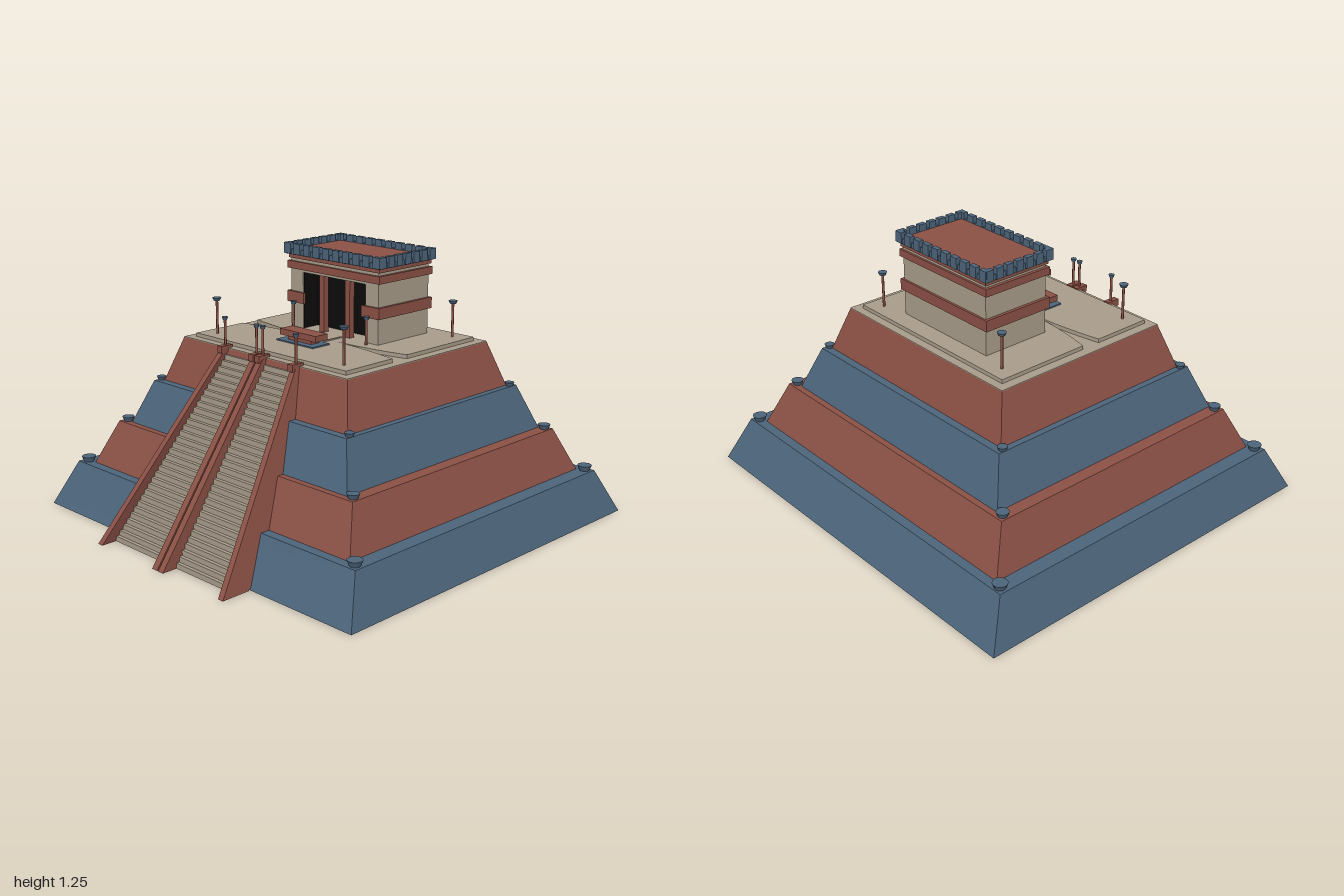
import * as THREE from 'three';

const mat = (name, color, side = THREE.FrontSide) => {
  const m = new THREE.MeshStandardMaterial({ color, side });
  m.name = name;
  return m;
};

export function createModel() {
  const root = new THREE.Group();
  root.name = 'steppedPyramid';
  const blue = mat('slateBlue', 0x4c647a, THREE.DoubleSide);
  const red = mat('brickRed', 0x8a5045, THREE.DoubleSide);
  const tan = mat('sandStone', 0xa89c8a);
  const dark = mat('doorShadow', 0x0c0c0c);

  const add = (name, geo, material, parent = root) => {
    const m = new THREE.Mesh(geo, material);
    m.name = name;
    parent.add(m);
    return m;
  };
  // Box given by its limits on each axis
  const box = (name, material, x0, x1, y0, y1, z0, z1, parent) => {
    const m = add(name, new THREE.BoxGeometry(x1 - x0, y1 - y0, z1 - z0), material, parent);
    m.position.set((x0 + x1) / 2, (y0 + y1) / 2, (z0 + z1) / 2);
    return m;
  };
  // Open shell through rectangles [halfX, back z, front z, y]
  const shell = (rects) => {
    const pos = [];
    const corners = ([hx, zb, zf, y]) => [[-hx, y, zf], [hx, y, zf], [hx, y, zb], [-hx, y, zb]];
    for (let i = 0; i + 1 < rects.length; i++) {
      const a = corners(rects[i]), b = corners(rects[i + 1]);
      for (let k = 0; k < 4; k++) {
        const n = (k + 1) % 4;
        pos.push(...a[k], ...a[n], ...b[n], ...a[k], ...b[n], ...b[k]);
      }
    }
    const g = new THREE.BufferGeometry();
    g.setAttribute('position', new THREE.Float32BufferAttribute(pos, 3));
    g.computeVertexNormals();
    return g;
  };

  // Four hollow tiers, each a sloping wall and a ledge
  const foot = [[1, -1, 0.85, 0], [0.848, -0.85, 0.7, 0.21], [0.71, -0.725, 0.575, 0.415], [0.6, -0.608, 0.457, 0.622]];
  const lip = [[0.92, -0.895, 0.745, 0.21], [0.77, -0.755, 0.605, 0.415], [0.63, -0.645, 0.495, 0.622], [0.53, -0.54, 0.388, 0.83]];
  foot.forEach((f, i) => {
    const rects = [f, lip[i]];
    if (foot[i + 1]) rects.push(foot[i + 1]);
    add('tier' + (i + 1), shell(rects), i % 2 ? red : blue);
  });

  // Bowls on the ledge corners
  const bowl = (r, h) => new THREE.CylinderGeometry(r, r * 0.7, h, 12);
  [[0.885, -0.865, 0.71, 0.21, 0.034], [0.742, -0.725, 0.572, 0.415, 0.029], [0.615, -0.613, 0.462, 0.622, 0.023]]
    .forEach(([x, zb, zf, y, r]) => {
      for (const s of [-1, 1]) for (const z of [zb, zf])
        add('ledgeBowl', bowl(r, r * 0.75), blue).position.set(s * x, y + r * 0.37, z);
    });

  // Platform floor, and a raised slab notched at both sides
  box('platformFloor', tan, -0.53, 0.53, 0.822, 0.834, -0.54, 0.388);
  const slab = new THREE.Shape();
  slab.moveTo(-0.485, -0.5);
  slab.lineTo(0.485, -0.5);
  slab.lineTo(0.485, -0.035);
  slab.quadraticCurveTo(0.3, 0.01, 0.1, 0.012);
  slab.quadraticCurveTo(0.3, 0.02, 0.485, 0.06);
  slab.lineTo(0.485, 0.35);
  slab.lineTo(-0.485, 0.35);
  slab.lineTo(-0.485, 0.06);
  slab.quadraticCurveTo(-0.3, 0.02, -0.1, 0.012);
  slab.quadraticCurveTo(-0.3, 0.01, -0.485, -0.035);
  slab.closePath();
  const slabGeo = new THREE.ExtrudeGeometry(slab, { depth: 0.02, bevelEnabled: false, curveSegments: 8 });
  slabGeo.rotateX(Math.PI / 2).translate(0, 0.852, 0);
  add('raisedSlab', slabGeo, tan);

  // Stairway, narrowing as it climbs
  const stairs = new THREE.Group();
  stairs.name = 'stairs';
  root.add(stairs);
  const sideX = (y) => THREE.MathUtils.lerp(0.41, 0.23, y / 0.83);
  const steps = 33, rise = 0.83 / steps;
  for (let i = 0; i < steps; i++) {
    const w = sideX((i + 0.5) * rise), z = 0.925 - i * 0.0168;
    box('step', tan, -w, w, i * rise, (i + 1) * rise, z - 0.045, z, stairs);
  }
  // Stair walls: two splayed at the sides, two straight in the middle
  const rail = new THREE.Shape([[1, 0], [0.41, 0.83], [0.36, 0.83], [0.62, 0.17], [0.86, 0]]
    .map(([z, y]) => new THREE.Vector2(z, y)));
  const addRail = (xAt, width) => {
    const g = new THREE.ExtrudeGeometry(rail, { depth: width, bevelEnabled: false });
    g.rotateY(-Math.PI / 2).translate(width / 2, 0, 0);
    const p = g.attributes.position;
    for (let i = 0; i < p.count; i++) p.setX(i, p.getX(i) + xAt(p.getY(i)));
    g.computeVertexNormals();
    add('stairWall', g, red, stairs);
  };
  for (const s of [-1, 1]) {
    addRail((y) => s * sideX(y), 0.03);
    addRail(() => s * 0.02, 0.033);
  }

  // Torches: pole with a bowl on top
  const torch = (x, z, y, h, r) => {
    const g = new THREE.Group();
    g.name = 'torch';
    g.position.set(x, y, z);
    root.add(g);
    add('torchPole', new THREE.CylinderGeometry(0.006, 0.006, h, 8), red, g).position.y = h / 2;
    add('torchBowl', bowl(r, 0.014), blue, g).position.y = h;
  };
  for (const s of [-1, 1]) {
    for (const z of [0.285, -0.435]) torch(s * 0.41, z, 0.85, 0.165, 0.021);
    torch(s * 0.235, -0.04, 0.85, 0.125, 0.015);
    for (const x of [0.23, 0.02]) {
      box('stairPost', red, s * x - 0.015, s * x + 0.015, 0.815, 0.847, 0.365, 0.43);
      torch(s * x, 0.393, 0.845, 0.125, 0.014);
    }
  }

  // Altar with its base and floor strips
  box('altarBase', blue, -0.118, 0.118, 0.85, 0.858, 0.075, 0.183);
  box('altarFoot', red, -0.075, 0.075, 0.855, 0.878, 0.1, 0.15);
  box('altarTop', red, -0.115, 0.115, 0.876, 0.904, 0.085, 0.162);
  for (const s of [-1, 1]) box('floorStrip', tan, s * 0.06 - 0.005, s * 0.06 + 0.005, 0.85, 0.857, -0.06, 0.08);

  // Temple walls around a dark doorway
  const temple = new THREE.Group();
  temple.name = 'temple';
  root.add(temple);
  const part = (name, m, ...lim) => box(name, m, ...lim, temple);
  part('backWall', tan, -0.2, 0.2, 0.84, 1.135, -0.41, -0.17);
  part('doorway', dark, -0.2, 0.2, 0.85, 1.125, -0.171, -0.165);
  part('lintel', tan, -0.2, 0.2, 1.12, 1.135, -0.17, -0.07);
  for (const s of [-1, 1]) {
    part('sideWall', tan, s * 0.24 - 0.04, s * 0.24 + 0.04, 0.84, 1.135, -0.41, -0.07);
    part('doorJamb', dark, s * 0.199 - 0.002, s * 0.199 + 0.002, 0.85, 1.12, -0.17, -0.075);
    part('column', red, s * 0.083 - 0.015, s * 0.083 + 0.015, 0.85, 1.122, -0.105, -0.075);
    // Middle band, broken at the doorway
    part('sideBand', red, s * 0.287 - 0.008, s * 0.287 + 0.008, 0.972, 1.024, -0.42, -0.057);
    part('frontBand', red, s * 0.237 - 0.052, s * 0.237 + 0.052, 0.972, 1.024, -0.07, -0.057);
  }
  part('rearBand', red, -0.28, 0.28, 0.972, 1.024, -0.42, -0.408);
  part('upperBand', red, -0.295, 0.295, 1.133, 1.168, -0.42, -0.058);
  part('friezeWall', tan, -0.28, 0.28, 1.168, 1.184, -0.41, -0.07);
  part('cornice', red, -0.29, 0.29, 1.182, 1.202, -0.417, -0.063);
  part('roof', red, -0.288, 0.288, 1.2, 1.222, -0.412, -0.066);

  // Blue parapet with merlons
  for (const z of [-0.415, -0.063]) part('parapet', blue, -0.298, 0.298, 1.2, 1.226, z - 0.008, z + 0.008);
  for (const x of [-0.29, 0.29]) part('parapet', blue, x - 0.008, x + 0.008, 1.2, 1.226, -0.42, -0.058);
  const merlon = (x, z, wx, wz) => part('merlon', blue, x - wx, x + wx, 1.203, 1.254, z - wz, z + wz);
  for (let i = 0; i < 10; i++)
    for (const z of [-0.418, -0.06]) merlon(-0.284 + i * 0.0631, z, 0.021, 0.012);
  for (let i = 0; i < 7; i++)
    for (const x of [-0.294, 0.294]) merlon(x, -0.405 + i * 0.0555, 0.012, 0.019);

  return root;
}
